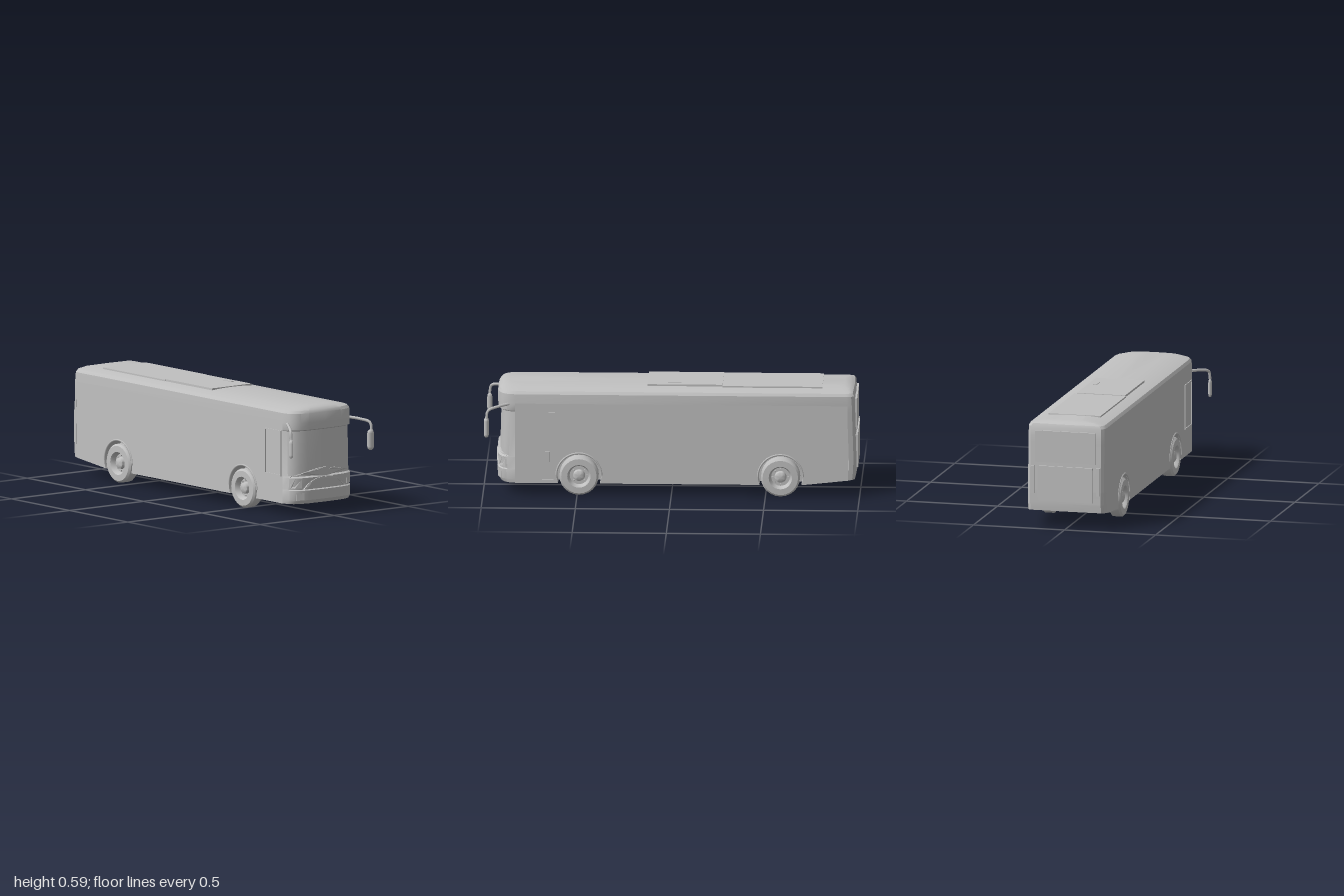
import * as THREE from 'three';
import { toCreasedNormals } from 'three/addons/utils/BufferGeometryUtils.js';

const W = 0.215, FLOOR = 0.065, AXLE_Y = 0.11, ARCH_R = 0.12, AXLES = [0.49, -0.58];
const ARCH_A = Math.asin((AXLE_Y - FLOOR) / ARCH_R), ARCH_DZ = ARCH_R * Math.cos(ARCH_A);
// the underside rises behind the rear axle
const floorY = z => FLOOR + Math.max(0, -0.693 - z) * 0.11;

// half of the plan outline: fraction of half width, z inset from the front or back
const FRONT = [[0, 0], [0.5, 0.004], [0.72, 0.013], [0.86, 0.028], [0.95, 0.053], [1, 0.1]];
const BACK = [[1, 0.045], [0.97, 0.02], [0.9, 0.005], [0, 0]];
const halfOutline = (w, zf, zb) => [
  ...FRONT.map(([f, d]) => [f * w, zf - d]),
  ...BACK.map(([f, d]) => [f * w, zb + d])];

// z of the curved nose at a given x
function frontZ(x, zf) {
  const f = Math.min(1, Math.abs(x) / W);
  for (let i = 1; i < FRONT.length; i++) {
    const [a, da] = FRONT[i - 1], [b, db] = FRONT[i];
    if (f <= b) return zf - da - (db - da) * (f - a) / (b - a);
  }
  return zf - 0.1;
}

export function createModel() {
  const bus = new THREE.Group();
  bus.name = 'bus';
  const paint = new THREE.MeshStandardMaterial({ color: 0xc0c0c0, side: THREE.DoubleSide });
  paint.name = 'light grey';
  const add = (name, geo, parent = bus) => {
    const m = new THREE.Mesh(geo, paint);
    m.name = name;
    parent.add(m);
    return m;
  };
  const box = (name, x0, x1, y0, y1, z0, z1) => {
    const m = add(name, new THREE.BoxGeometry(Math.abs(x1 - x0), y1 - y0, z1 - z0));
    m.position.set((x0 + x1) / 2, (y0 + y1) / 2, (z0 + z1) / 2);
    return m;
  };

  // shell: plan outlines stacked by height [y, half width, front z, back z]
  const levels = [
    [FLOOR, W, 0.915, -0.975], [0.085, W, 0.928, -0.98], [0.137, W, 0.93, -0.985], [0.142, W, 0.922, -0.985],
    [0.205, W, 0.928, -0.988], [0.212, W, 0.915, -0.988], [0.455, W, 0.908, -0.98],
    [0.462, W, 0.925, -0.98], [0.5, W, 0.927, -0.979], [0.55, 0.213, 0.925, -0.975],
    [0.565, 0.203, 0.917, -0.968], [0.577, 0.155, 0.9, -0.95], [0.583, 0.08, 0.87, -0.92]];
  const rings = levels.map(([y, w, zf, zb]) => {
    const half = halfOutline(w, zf, zb);
    const ring = [...half, ...half.slice(1, -1).reverse().map(([x, z]) => [-x, z])];
    return ring.map(([x, z]) => [x, Math.max(y, floorY(z)), z]);
  });
  const pos = [], n = rings[0].length;
  for (let k = 0; k + 1 < rings.length; k++) {
    for (let i = 0; i < n; i++) {
      if ((i === 5 || i === 12) && levels[k + 1][0] <= 0.5) continue; // side panels go here
      const j = (i + 1) % n, lo = rings[k], hi = rings[k + 1];
      pos.push(...lo[i], ...lo[j], ...hi[j], ...lo[i], ...hi[j], ...hi[i]);
    }
  }
  const top = rings[rings.length - 1];
  for (let i = 0; i < n; i++) pos.push(0, 0.585, 0, ...top[i], ...top[(i + 1) % n]);
  const shell = new THREE.BufferGeometry();
  shell.setAttribute('position', new THREE.Float32BufferAttribute(pos, 3));
  add('bodyShell', toCreasedNormals(shell, 0.5));

  // side panels with wheel arches
  const side = new THREE.Shape();
  side.moveTo(-0.83, FLOOR);
  for (const z of AXLES) {
    side.lineTo(-z - ARCH_DZ, FLOOR);
    side.absarc(-z, AXLE_Y, ARCH_R, Math.PI + ARCH_A, -ARCH_A, true);
  }
  side.lineTo(0.94, floorY(-0.94));
  side.lineTo(0.935, 0.5);
  side.lineTo(-0.83, 0.5);
  for (const s of [1, -1]) {
    const g = new THREE.ShapeGeometry(side, 16).rotateY(s * Math.PI / 2);
    if (s < 0) g.scale(1, 1, -1);
    add('sidePanel', g).position.x = s * W;
  }

  // floor, cut away at the wheels
  const half = halfOutline(W, levels[0][2], levels[0][3]);
  const notches = AXLES.flatMap(z => [
    [W, z + ARCH_DZ], [0.135, z + ARCH_DZ], [0.135, z - ARCH_DZ], [W, z - ARCH_DZ]]);
  const edge = [...half.slice(0, 6), ...notches, ...half.slice(6)];
  const plan = [...edge, ...edge.slice(1, -1).reverse().map(([x, z]) => [-x, z])];
  const floor = new THREE.ShapeGeometry(new THREE.Shape(plan.map(([x, z]) => new THREE.Vector2(x, z))));
  floor.rotateX(Math.PI / 2);
  const fp = floor.attributes.position;
  for (let i = 0; i < fp.count; i++) fp.setY(i, floorY(fp.getZ(i)));
  floor.computeVertexNormals();
  add('floor', floor);

  // wheels, wells and arch lips
  const tyreProfile = [[0, -0.03], [0.092, -0.03], [0.104, -0.022], [0.104, 0.026], [0.094, 0.036],
    [0.062, 0.037], [0.056, 0.03], [0.05, 0.008], [0.032, 0.008], [0.028, 0.026], [0.018, 0.032], [0, 0.032]]
    .map(([r, h]) => new THREE.Vector2(r, h));
  for (const z of AXLES) for (const s of [1, -1]) {
    const wheel = new THREE.Group();
    wheel.name = 'wheel';
    wheel.position.set(s * 0.184, AXLE_Y - 0.005, z);
    bus.add(wheel);
    const tyre = toCreasedNormals(new THREE.LatheGeometry(tyreProfile, 24), 0.6);
    add('tyreAndRim', tyre.rotateZ(-s * Math.PI / 2), wheel);
    for (let i = 0; i < 8; i++) {
      const a = i * Math.PI / 4;
      add('wheelNut', new THREE.BoxGeometry(0.008, 0.007, 0.007), wheel)
        .position.set(s * 0.011, 0.041 * Math.cos(a), 0.041 * Math.sin(a));
    }
    const well = new THREE.CylinderGeometry(ARCH_R, ARCH_R, 0.08, 16, 1, true, -ARCH_A, Math.PI + 2 * ARCH_A);
    add('wheelWell', well.rotateZ(Math.PI / 2)).position.set(s * 0.175, AXLE_Y, z);
    const wall = new THREE.CircleGeometry(ARCH_R, 16, -ARCH_A, Math.PI + 2 * ARCH_A);
    add('wheelWellWall', wall.rotateY(Math.PI / 2)).position.set(s * 0.136, AXLE_Y, z);
    const lip = new THREE.TorusGeometry(ARCH_R, 0.005, 6, 20, Math.PI);
    add('archLip', lip.rotateY(Math.PI / 2)).position.set(s * W, AXLE_Y, z);
  }

  // plates bent to follow the nose
  const nosePlate = (name, points, zf, depth) => {
    const g = new THREE.ExtrudeGeometry(new THREE.Shape(points.map(p => new THREE.Vector2(...p))),
      { depth, bevelEnabled: false });
    const p = g.attributes.position;
    for (let i = 0; i < p.count; i++) p.setZ(i, p.getZ(i) + frontZ(p.getX(i), zf));
    g.computeVertexNormals();
    return add(name, g);
  };
  const arc = (w, y0, y1, power) => Array.from({ length: 13 }, (_, i) => {
    const t = 1 - i / 6;
    return [t * w, y0 + (y1 - y0) * (1 - Math.abs(t) ** power)];
  });
  nosePlate('windscreenCowl', [...arc(0.2, 0.212, 0.253, 1.6), [-0.2, 0.206], [0, 0.206], [0.2, 0.206]], 0.912, 0.012);
  nosePlate('grilleArch', [...arc(0.14, 0.145, 0.203, 3), ...arc(0.125, 0.145, 0.194, 3).reverse()], 0.924, 0.008);
  for (const s of [1, -1]) {
    nosePlate('headlight', [[s * 0.15, 0.15], [s * 0.185, 0.15], [s * 0.2, 0.15],
      [s * 0.2, 0.2], [s * 0.185, 0.2], [s * 0.15, 0.2]], 0.922, 0.006);
    nosePlate('fogLight', [[s * 0.14, 0.085], [s * 0.18, 0.085], [s * 0.18, 0.125], [s * 0.14, 0.125]], 0.926, 0.006);
  }

  // wipers
  for (const s of [1, -1]) {
    const curve = new THREE.LineCurve3(new THREE.Vector3(s * 0.03, 0.245, 0.924), new THREE.Vector3(s * 0.11, 0.235, 0.918));
    add('wiper', new THREE.TubeGeometry(curve, 1, 0.003, 5));
  }

  // doors on the left, driver's window frame on the right
  const frame = (name, s, z0, z1, y0, y1, t = 0.007) => {
    const a = s * (W - 0.002), b = s * (W + 0.004);
    box(name, a, b, y0, y1, z0, z0 + t);
    box(name, a, b, y0, y1, z1 - t, z1);
    box(name, a, b, y0, y0 + t, z0, z1);
    box(name, a, b, y1 - t, y1, z0, z1);
  };
  frame('doorLeaf', 1, 0.618, 0.72, 0.08, 0.455);
  frame('doorLeaf', 1, 0.725, 0.82, 0.08, 0.455);
  box('doorHandle', W, W + 0.004, 0.18, 0.24, 0.645, 0.67);
  frame('driverWindow', -1, 0.68, 0.82, 0.21, 0.455);

  // roof covers
  box('rearRoofCover', -0.145, 0.14, 0.57, 0.586, -0.8, -0.27);
  box('middleRoofCover', -0.14, 0.125, 0.57, 0.589, -0.27, 0.13);
  box('roofVent', 0.075, 0.095, 0.585, 0.592, -0.05, 0.02);

  // rear window, engine cover and lamps
  box('rearWindow', -0.165, 0.165, 0.36, 0.53, -0.986, -0.975);
  box('engineCover', -0.15, 0.15, 0.15, 0.34, -0.991, -0.98);
  for (const s of [1, -1]) box('rearLamp', s * 0.17, s * 0.19, 0.19, 0.34, -0.99, -0.975);

  // mirrors on hanging arms; the left one is larger
  for (const s of [1, -1]) {
    const curve = new THREE.CatmullRomCurve3([[0.2, 0.495, 0.86], [0.235, 0.488, 0.92], [0.265, 0.472, 0.972], [0.268, 0.43, 0.98]]
      .map(([x, y, z]) => new THREE.Vector3(s * (s < 0 ? x + 0.006 : x), y, z)));
    add('mirrorArm', new THREE.TubeGeometry(curve, 12, 0.008, 6));
    const head = new THREE.CapsuleGeometry(0.02, s > 0 ? 0.072 : 0.06, 4, 10);
    head.scale(s > 0 ? 1 : 0.5, 1, 0.7);
    add('mirrorHead', head).position.set(s > 0 ? 0.262 : -0.275, 0.38, 0.98);
  }
  return bus;
}
